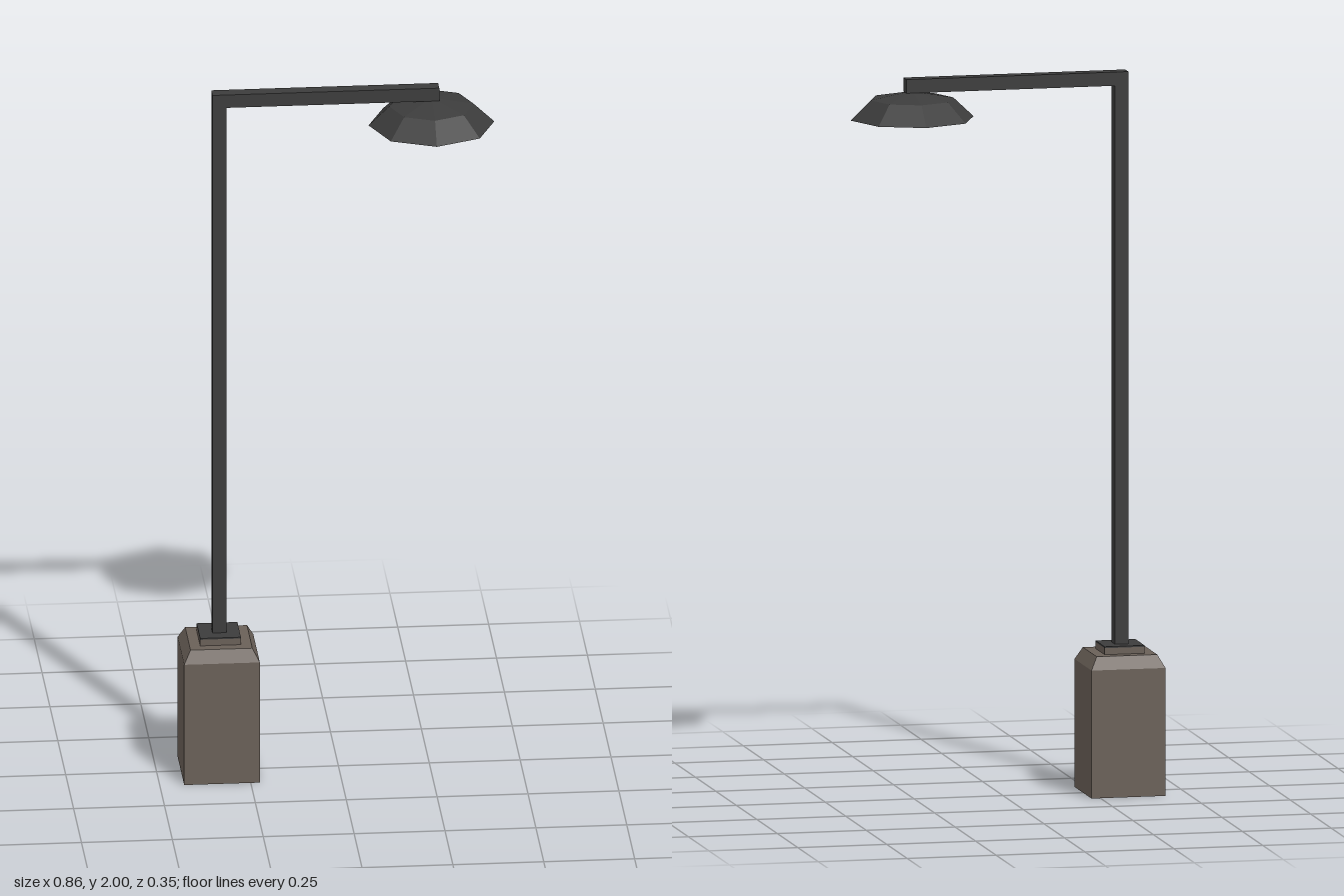
import * as THREE from 'three';

const POST_X = -0.329;
const LAMP_X = 0.256;

const flat = (color) => new THREE.MeshStandardMaterial({ color, flatShading: true });

export function createModel() {
  const group = new THREE.Group();
  const metal = flat(0x3c3c3c);
  const stone = flat(0x6a6058);
  const glass = flat(0xd8d2aa);

  const add = (name, geometry, material, x, y) => {
    const mesh = new THREE.Mesh(geometry, material);
    mesh.name = name;
    mesh.position.set(x, y, 0);
    group.add(mesh);
  };
  // Box given by its bottom height
  const box = (name, material, x, y0, w, h, d) =>
    add(name, new THREE.BoxGeometry(w, h, d), material, x, y0 + h / 2);
  // Faceted eight-sided turning, profile listed as [radius, height]
  const octagon = (profile) =>
    new THREE.LatheGeometry(profile.map(([r, y]) => new THREE.Vector2(r, y)), 8);

  // Square pedestal with a bevelled top, turned from a four-sided profile
  const half = (s, y) => new THREE.Vector2(s * Math.SQRT2, y);
  const pedestal = new THREE.LatheGeometry(
    [half(0, 0), half(0.104, 0), half(0.104, 0.355), half(0.085, 0.39), half(0, 0.39)],
    4, Math.PI / 4);
  add('pedestal', pedestal, stone, POST_X, 0);

  // Mounting plate with a metal top
  box('mountingPlate', stone, POST_X, 0.39, 0.112, 0.018, 0.112);
  box('plateCap', metal, POST_X, 0.408, 0.112, 0.004, 0.112);

  // Post and horizontal arm
  box('post', metal, POST_X, 0.41, 0.038, 1.552, 0.038);
  const armStart = POST_X - 0.019;
  const armLength = 0.276 - armStart;
  box('arm', metal, armStart + armLength / 2, 1.962, armLength, 0.038, 0.038);

  // Lamp shade with a flat rim, and the lens set into it
  add('lampShade', octagon([[0.138, 1.889], [0.173, 1.889], [0.116, 1.943], [0, 1.965]]),
    metal, LAMP_X, 0);
  add('lampLens', octagon([[0, 1.884], [0.138, 1.889]]), glass, LAMP_X, 0);

  return group;
}
